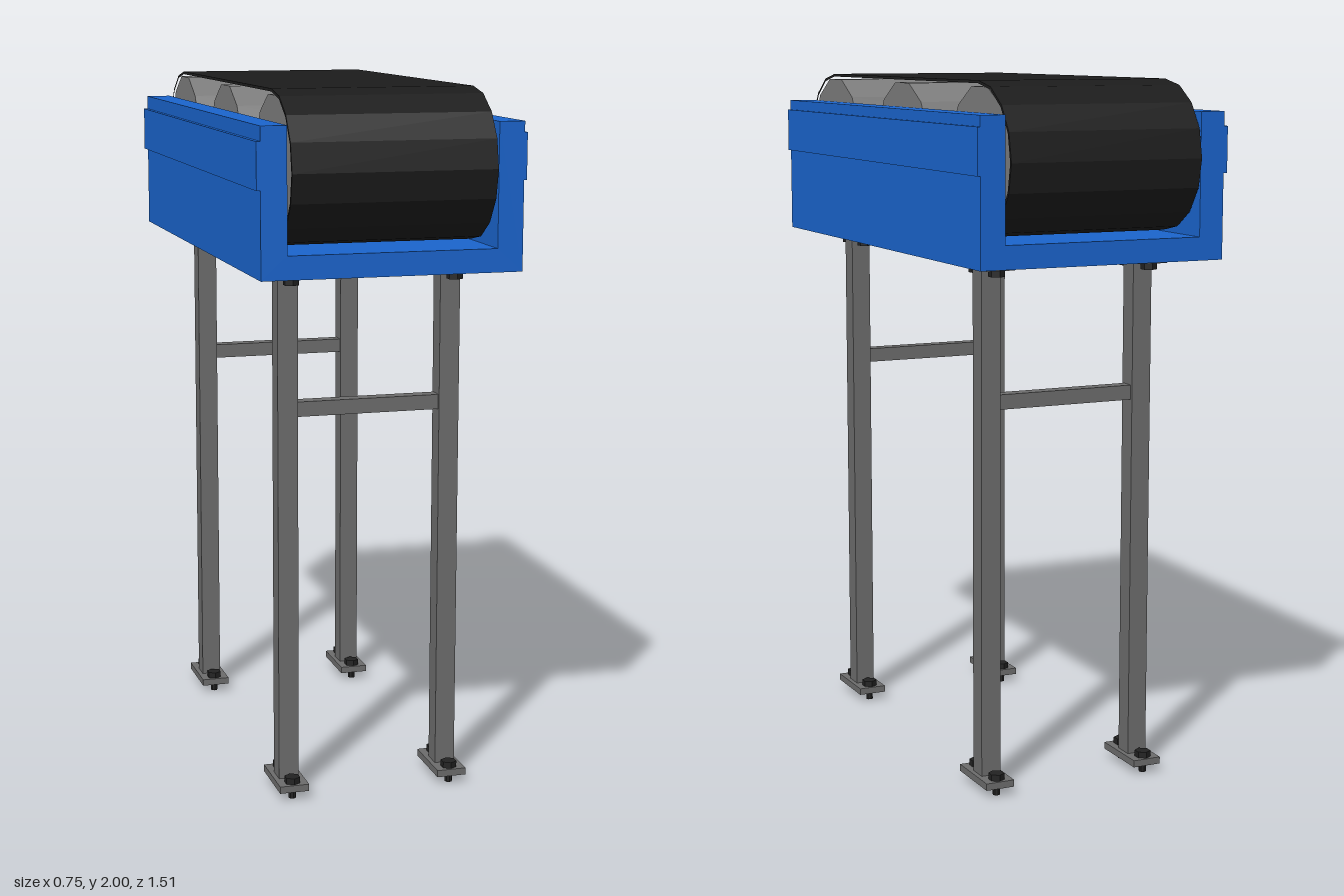
import * as THREE from 'three';

const mat = (color, flatShading = false) => new THREE.MeshStandardMaterial({ color, flatShading });

export function createModel() {
  const model = new THREE.Group();
  const blue = mat(0x1a64cc, true);
  const steel = mat(0x6c6c6c, true);
  const rollerGrey = mat(0x7c7c7c, true);
  const bolt = mat(0x222222, true);
  const rubber = mat(0x1c1c1c, true);

  function add(parent, name, geometry, material, x = 0, y = 0, z = 0) {
    const mesh = new THREE.Mesh(geometry, material);
    mesh.name = name;
    mesh.position.set(x, y, z);
    parent.add(mesh);
    return mesh;
  }
  const box = (w, h, d) => new THREE.BoxGeometry(w, h, d);

  // U-shaped trough, extruded along z
  const trough = new THREE.Shape([
    [-0.365, 1.51], [0.365, 1.51], [0.365, 1.915], [0.293, 1.915],
    [0.293, 1.575], [-0.293, 1.575], [-0.293, 1.915], [-0.365, 1.915],
  ].map(([x, y]) => new THREE.Vector2(x, y)));
  add(model, 'trough', new THREE.ExtrudeGeometry(trough, { depth: 1.47, bevelEnabled: false }),
    blue, 0, 0, -0.735);

  // Raised strips along the outer walls
  add(model, 'leftSideStrip', box(0.015, 0.128, 1.47), blue, 0.3655, 1.821, 0);
  add(model, 'rightSideStrip', box(0.015, 0.128, 1.47), blue, -0.3685, 1.811, 0);

  // Belt loop: two half circles joined by straight runs
  const beltY = 1.79, endZ = 0.545;
  const loop = (r) => {
    const pts = [];
    for (const side of [1, -1]) {
      for (let i = 0; i <= 8; i++) {
        const a = Math.PI / 2 - (i / 8) * Math.PI;
        pts.push(new THREE.Vector2(side * (endZ + r * Math.cos(a)), side * r * Math.sin(a)));
      }
    }
    return pts;
  };
  const beltShape = new THREE.Shape(loop(0.21));
  beltShape.holes.push(new THREE.Path(loop(0.202)));
  const beltGeometry = new THREE.ExtrudeGeometry(beltShape, { depth: 0.57, bevelEnabled: false });
  beltGeometry.translate(0, 0, -0.285).rotateY(Math.PI / 2);
  add(model, 'belt', beltGeometry, rubber, 0, beltY, 0);
  add(model, 'beltLining', box(0.56, 0.003, 2 * endZ), rollerGrey, 0, beltY - 0.2, 0);

  // Twelve-sided rollers with a flat on top
  const rollerGeometry = new THREE.CylinderGeometry(0.2, 0.2, 0.562, 12);
  rollerGeometry.rotateY(Math.PI / 12).rotateZ(Math.PI / 2);
  for (const z of [-endZ, 0, endZ]) {
    add(model, 'roller', rollerGeometry, rollerGrey, 0, beltY, z);
    const axle = add(model, 'rollerAxle', new THREE.CylinderGeometry(0.03, 0.03, 0.6, 12), steel, 0, beltY, z);
    axle.rotation.z = Math.PI / 2;
  }

  // Legs with bolted plates at top and bottom
  const head = new THREE.CylinderGeometry(0.023, 0.023, 0.018, 6);
  const shank = new THREE.CylinderGeometry(0.011, 0.011, 0.03, 8);
  const plate = box(0.085, 0.02, 0.185);
  for (const z of [-0.49, 0.49]) {
    for (const x of [-0.235, 0.235]) {
      const leg = new THREE.Group();
      leg.name = 'leg';
      leg.position.set(x, 0, z);
      model.add(leg);
      add(leg, 'post', box(0.058, 1.46, 0.058), steel, 0, 0.77, 0);
      add(leg, 'topPlate', plate, steel, 0, 1.5, 0);
      add(leg, 'footPlate', plate, steel, 0, 0.035, 0);
      for (const dz of [-0.065, 0.065]) {
        add(leg, 'topBolt', head, bolt, 0, 1.481, dz);
        add(leg, 'footBolt', head, bolt, 0, 0.054, dz);
        add(leg, 'footBoltShank', shank, bolt, 0, 0.015, dz);
      }
    }
    add(model, 'crossBar', box(0.42, 0.042, 0.042), steel, 0, 1.117, z);
  }
  return model;
}
